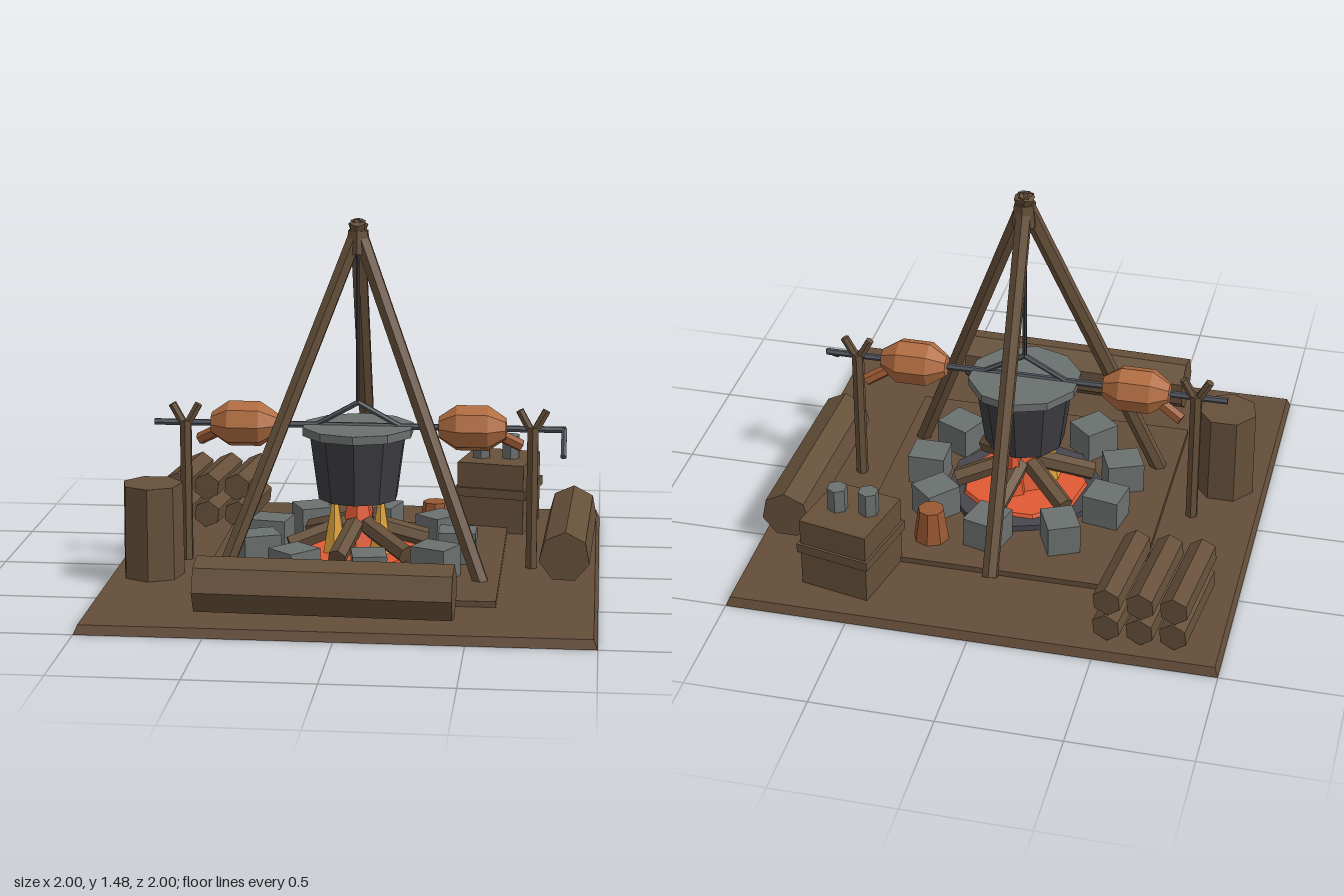
import * as THREE from 'three';

const mat = (name, color) => {
  const m = new THREE.MeshStandardMaterial({ color, flatShading: true });
  m.name = name;
  return m;
};

export function createModel() {
  const root = new THREE.Group();
  root.name = 'campfire';
  const earth = mat('earth', 0x644d39), wood = mat('wood', 0x66503a), stone = mat('stone', 0x6b716f),
    pot = mat('pot iron', 0x3d3d42), iron = mat('rod iron', 0x51555c), ash = mat('ash', 0x47464e),
    ember = mat('ember', 0xe05a34), flame = mat('flame', 0xe0a338), meat = mat('roast meat', 0xb06c40),
    clay = mat('dark roast', 0x9a5832);

  const V = (x, y, z) => new THREE.Vector3(x, y, z);
  const add = (name, geo, m, x = 0, y = 0, z = 0, parent = root) => {
    const mesh = new THREE.Mesh(geo, m);
    mesh.name = name;
    mesh.position.set(x, y, z);
    parent.add(mesh);
    return mesh;
  };
  // Upright prism or frustum from y0 to y1
  const drum = (name, m, x, z, y0, y1, rBottom, rTop, sides, turn = 0) => {
    const d = add(name, new THREE.CylinderGeometry(rTop, rBottom, y1 - y0, sides), m, x, (y0 + y1) / 2, z);
    d.rotation.y = turn;
    return d;
  };
  // Straight rod between two points
  const rod = (name, m, a, b, r, sides = 6, rEnd = r) => {
    const dir = b.clone().sub(a);
    const mid = a.clone().add(b).multiplyScalar(0.5);
    const d = add(name, new THREE.CylinderGeometry(rEnd, r, dir.length(), sides), m, mid.x, mid.y, mid.z);
    d.quaternion.setFromUnitVectors(V(0, 1, 0), dir.normalize());
    return d;
  };

  // Ground slab with bevelled sides, and trodden patch
  const slab = new THREE.CylinderGeometry(0.985 * Math.SQRT2, Math.SQRT2, 0.036, 4);
  slab.rotateY(Math.PI / 4);
  add('ground', slab, earth, 0, 0.018, 0);
  add('patch', new THREE.BoxGeometry(1.2, 0.03, 1.2), earth, 0, 0.045, 0);

  // Fire pit
  drum('ashBed', ash, 0, 0, 0.05, 0.085, 0.33, 0.33, 10);
  drum('emberBed', ember, 0, 0, 0.08, 0.1, 0.27, 0.26, 9);
  for (let i = 0; i < 9; i++) {
    const a = (i * 40 + 3 * Math.sin(i * 5)) * Math.PI / 180;
    const r = 0.415 + 0.015 * Math.sin(i * 2.3);
    const w = 0.14 + 0.02 * Math.sin(i * 3.1);
    const s = add('ringStone', new THREE.BoxGeometry(0.155, 0.135, w), stone,
      r * Math.cos(a), 0.123, r * Math.sin(a));
    s.rotation.y = -a + 0.2 * Math.sin(i * 1.7);
  }
  for (let i = 0; i < 6; i++) {
    const a = (42 + i * 60) * Math.PI / 180, c = Math.cos(a), s = Math.sin(a);
    rod('fireLog', wood, V(0.29 * c, 0.13, 0.29 * s), V(0.05 * c, 0.21, 0.05 * s), 0.04);
  }
  for (const [m, x, z, r, h] of [[ember, 0, 0, 0.1, 0.4], [flame, -0.09, 0.06, 0.055, 0.31],
    [flame, 0.1, 0.05, 0.055, 0.31], [ember, 0.03, -0.08, 0.06, 0.3]]) {
    add('flame', new THREE.ConeGeometry(r, h, 6), m, x, 0.09 + h / 2, z);
  }

  // Tripod with lashing and hanging line
  for (const s of [-1, 1]) rod('tripodLeg', wood, V(s * 0.53, 0.04, 0.3), V(-s * 0.012, 1.47, -0.01), 0.034);
  rod('tripodLeg', wood, V(0, 0.04, -0.62), V(0, 1.47, 0.02), 0.034);
  drum('lashing', wood, 0, 0, 1.34, 1.435, 0.055, 0.045, 6);
  rod('hangingLine', pot, V(0, 0.71, 0), V(0, 1.42, 0), 0.009);

  // Cooking pot with lid and handle
  drum('pot', pot, 0, 0, 0.32, 0.6, 0.167, 0.205, 10);
  drum('potLid', stone, 0, 0, 0.59, 0.625, 0.235, 0.235, 10);
  for (const s of [-1, 1]) rod('potHandle', iron, V(s * 0.18, 0.62, 0), V(0, 0.72, 0), 0.012);

  // Spit with crank, forked posts and roasts
  rod('spit', iron, V(-0.85, 0.622, 0), V(0.855, 0.622, 0), 0.014);
  rod('crank', iron, V(0.848, 0.625, 0), V(0.848, 0.535, 0.12), 0.013);
  const profile = [[0, -0.142], [0.045, -0.138], [0.095, -0.065], [0.095, 0.065], [0.045, 0.138], [0, 0.142]]
    .map(([r, h]) => new THREE.Vector2(r, h));
  for (const s of [-1, 1]) {
    rod('spitPost', wood, V(s * 0.72, 0.02, 0), V(s * 0.72, 0.63, 0), 0.026);
    for (const t of [-1, 1]) rod('postFork', wood, V(s * 0.72, 0.6, 0), V(s * 0.72 + t * 0.055, 0.7, 0), 0.018);
    const roast = add('roast', new THREE.LatheGeometry(profile, 8), meat, s * 0.472, 0.622, 0);
    roast.rotation.z = Math.PI / 2;
    rod('roastLeg', clay, V(s * 0.56, 0.6, -0.02), V(s * 0.67, 0.54, -0.055), 0.026);
  }

  // Log seats and stump
  rod('frontLog', wood, V(-0.55, 0.16, 0.815), V(0.45, 0.16, 0.845), 0.112, 7);
  rod('sideLog', wood, V(0.86, 0.15, 0.25), V(0.885, 0.15, -0.55), 0.105, 7);
  drum('stump', wood, -0.82, 0.25, 0.03, 0.42, 0.128, 0.125, 7);

  // Firewood stack
  for (let row = 0; row < 2; row++) for (let i = 0; i < 3; i++) {
    const x = -0.85 + i * 0.133, y = 0.1 + row * 0.123;
    rod('firewood', wood, V(x, y, -0.5), V(x + 0.045, y, -0.92), 0.06);
  }

  // Crate with band and two cups
  const crate = new THREE.Group();
  crate.name = 'crate';
  crate.position.set(0.555, 0, -0.705);
  crate.rotation.y = -0.21;
  root.add(crate);
  add('crateBody', new THREE.BoxGeometry(0.295, 0.305, 0.305), wood, 0, 0.187, 0, crate);
  add('crateBand', new THREE.BoxGeometry(0.318, 0.04, 0.328), wood, 0, 0.21, 0, crate);
  for (const x of [0.477, 0.607]) drum('cup', stone, x, -0.7, 0.335, 0.44, 0.042, 0.042, 6);

  // Clay jar
  drum('jar', clay, 0.295, -0.43, 0.055, 0.2, 0.075, 0.054, 8);
  return root;
}
